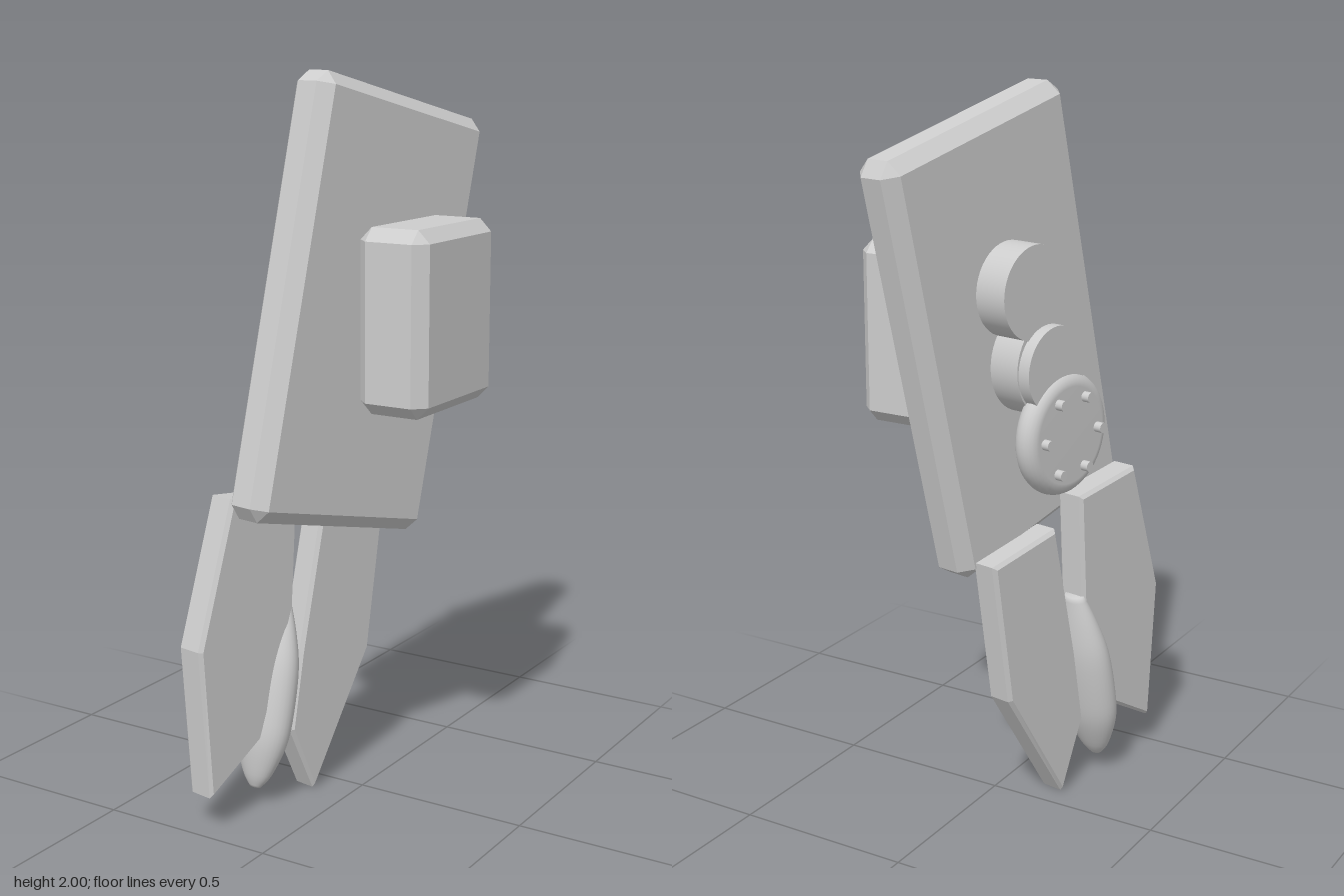
import * as THREE from 'three';
import { ConvexGeometry } from 'three/addons/geometries/ConvexGeometry.js';

const YAW = -0.17, TILT = -0.24;

// Box with single-step chamfers on every edge
function chamferBox(w, h, d, c) {
  const pts = [];
  for (const x of [-1, 1]) for (const y of [-1, 1]) for (const z of [-1, 1]) {
    for (let axis = 0; axis < 3; axis++) {
      const inset = [c, c, c];
      inset[axis] = 0;
      pts.push(new THREE.Vector3(
        x * (w / 2 - inset[0]), y * (h / 2 - inset[1]), z * (d / 2 - inset[2])));
    }
  }
  return new ConvexGeometry(pts);
}

// Disc whose outer face looks towards -x
function disc(radius, depth, sides = 48) {
  return new THREE.CylinderGeometry(radius, radius, depth, sides).rotateZ(Math.PI / 2);
}

// Upright plate from a [z, y] outline
function plate(outline, thickness) {
  const b = 0.01;
  const shape = new THREE.Shape(
    outline.map(([z, y]) => new THREE.Vector2(z / Math.cos(YAW), y)));
  const geo = new THREE.ExtrudeGeometry(shape, {
    depth: thickness - 2 * b, bevelEnabled: true, bevelSize: b, bevelOffset: -b,
    bevelThickness: b, bevelSegments: 1,
  });
  return geo.translate(0, 0, -(thickness - 2 * b) / 2).rotateY(-Math.PI / 2);
}

export function createModel() {
  const model = new THREE.Group();
  const grey = new THREE.MeshStandardMaterial({ color: 0xcccccc });
  grey.name = 'light grey';

  function add(name, geo, x, y, z, yaw = YAW, tilt = 0, parent = model) {
    const mesh = new THREE.Mesh(geo, grey);
    mesh.name = name;
    mesh.position.set(x, y, z);
    mesh.rotation.set(tilt, yaw, 0, 'YXZ');
    parent.add(mesh);
    return mesh;
  }

  // Leaning main slab and the block beside it
  add('mainSlab', chamferBox(0.135, 1.17, 0.685, 0.035), -0.03, 1.36, -0.035, YAW, TILT);
  add('sideBlock', chamferBox(0.205, 0.49, 0.4, 0.034), 0.17, 1.365, -0.046, 0);

  // Stacked discs on the slab's outer face
  add('upperDisc', disc(0.125, 0.1), -0.133, 1.49, -0.09);
  add('lowerDisc', disc(0.14, 0.1), -0.142, 1.29, -0.02);
  add('middleDisc', disc(0.115, 0.05), -0.197, 1.285, -0.05);

  // Round-rimmed wheel with six studs
  const wheel = new THREE.Group();
  wheel.name = 'studdedWheel';
  wheel.position.set(-0.21, 1.1, -0.01);
  wheel.rotation.y = YAW;
  model.add(wheel);
  const rim = [new THREE.Vector2(0, -0.035)];
  for (let i = 0; i <= 10; i++) {
    const a = -Math.PI / 2 + (i / 10) * Math.PI;
    rim.push(new THREE.Vector2(0.132 + 0.035 * Math.cos(a), 0.035 * Math.sin(a)));
  }
  rim.push(new THREE.Vector2(0, 0.035));
  add('wheelBody', new THREE.LatheGeometry(rim, 48).rotateZ(Math.PI / 2), 0, 0, 0, 0, 0, wheel);
  for (let i = 0; i < 6; i++) {
    const a = (i * Math.PI) / 3;
    add('wheelStud', disc(0.014, 0.03, 16),
      -0.042, 0.11 * Math.sin(a), 0.11 * Math.cos(a), 0, 0, wheel);
  }

  // Pointed fins below the slab
  add('frontFin', plate([[0.13, 0.88], [0.15, 0.56], [0.28, 0.21], [0.47, 0.1],
    [0.5, 0.52], [0.375, 0.91]], 0.085), -0.139, 0, 0);
  add('backFin', plate([[-0.215, 0.77], [-0.15, 0.36], [0.08, 0],
    [0.17, 0.2], [0.13, 0.42], [0.04, 0.81]], 0.08), -0.131, 0, 0);

  // Spindle between the fins, wider across than deep
  const profile = new THREE.SplineCurve([[0.012, -0.27], [0.032, -0.23], [0.055, -0.14],
    [0.061, -0.05], [0.058, 0.08], [0.042, 0.18], [0.02, 0.27]]
    .map(([r, y]) => new THREE.Vector2(r, y))).getPoints(24);
  const closed = [new THREE.Vector2(0, -0.27), ...profile, new THREE.Vector2(0, 0.27)];
  add('spindle', new THREE.LatheGeometry(closed, 32).scale(1.5, 1, 1),
    -0.182, 0.315, 0.203, YAW, -0.21);

  return model;
}
